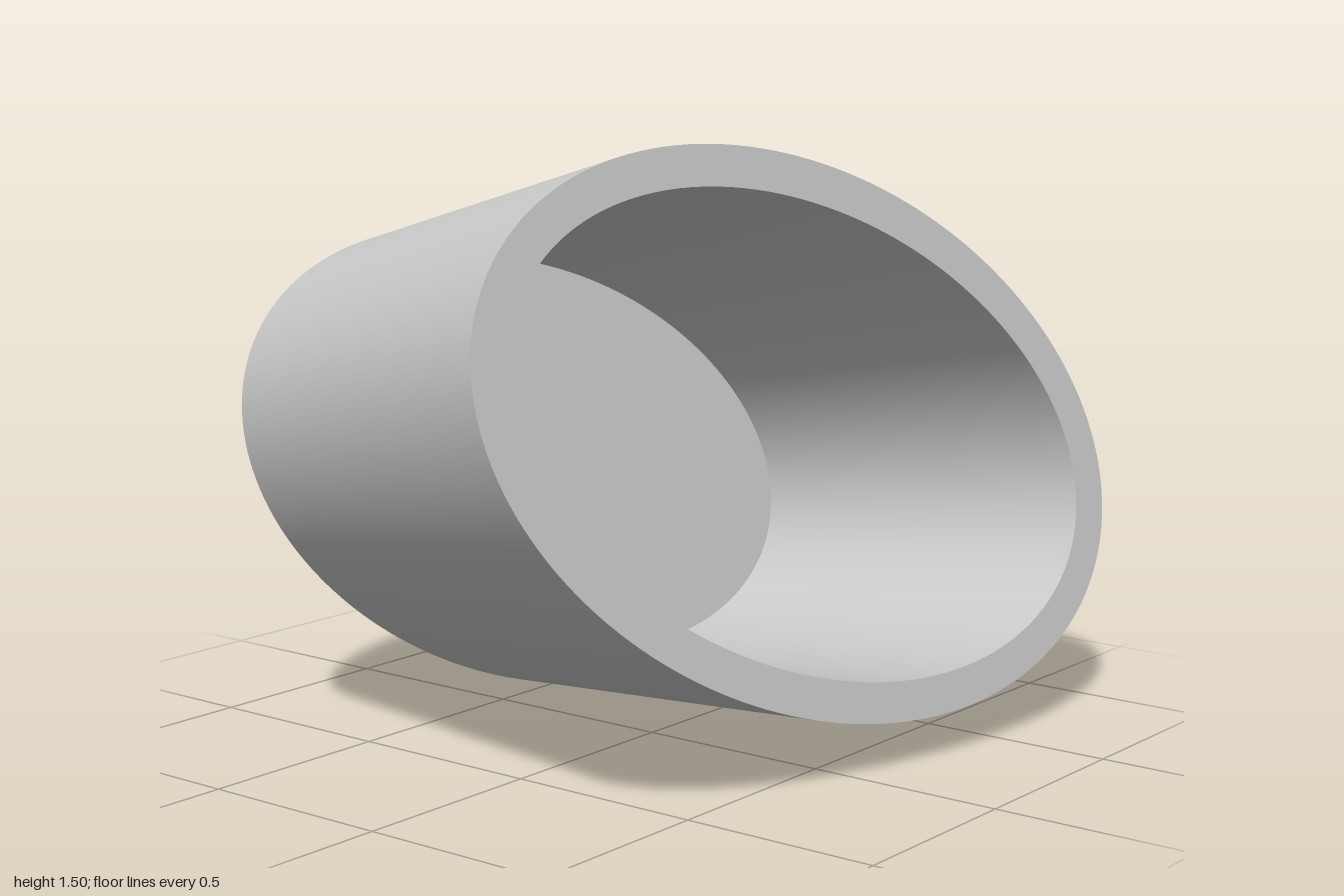
import * as THREE from 'three';

const SEGMENTS = 160;
const SLOPE_Y = -0.185, SLOPE_Z = -0.173; // tilt of every cross-section plane

// Tilted ellipse: centre, height radius, shear of z with height, depth radius
const rings = {
  base: { c: [-0.5575, 0.615, -0.1625], ry: 0.615, shear: 0.214, rz: 0.81 },
  rim: { c: [0.5225, 0.8075, 0.03], ry: 0.6925, shear: 0.276, rz: 0.93 },
  mouth: { c: [0.5225, 0.8075, 0.03], ry: 0.5975, shear: 0.285, rz: 0.822 },
  floor: { c: [-0.455, 0.634, -0.143], ry: 0.531, shear: 0.221, rz: 0.726 },
};

const centreOf = (ring) => ({ c: ring.c, ry: 0, shear: 0, rz: 0 });

function ringPoint({ c, ry, shear, rz }, i) {
  const t = (i / SEGMENTS) * Math.PI * 2;
  const dy = ry * Math.cos(t);
  const dz = shear * Math.cos(t) + rz * Math.sin(t);
  return [c[0] + SLOPE_Y * dy + SLOPE_Z * dz, c[1] + dy, c[2] + dz];
}

// Closed band of faces between two cross-sections, smooth around the loop
function band(name, from, to, material) {
  const positions = [], index = [];
  for (const ring of [from, to]) {
    for (let i = 0; i < SEGMENTS; i++) positions.push(...ringPoint(ring, i));
  }
  for (let i = 0; i < SEGMENTS; i++) {
    const j = (i + 1) % SEGMENTS;
    index.push(i, j, SEGMENTS + i, j, SEGMENTS + j, SEGMENTS + i);
  }
  const geometry = new THREE.BufferGeometry();
  geometry.setAttribute('position', new THREE.Float32BufferAttribute(positions, 3));
  geometry.setIndex(index);
  geometry.computeVertexNormals();
  const mesh = new THREE.Mesh(geometry, material);
  mesh.name = name;
  return mesh;
}

export function createModel() {
  const group = new THREE.Group();
  group.name = 'ovalCup';
  const material = new THREE.MeshStandardMaterial({ color: 0xcccccc });
  const { base, rim, mouth, floor } = rings;

  group.add(
    band('baseDisc', centreOf(base), base, material),
    band('outerWall', base, rim, material),
    band('rimFace', rim, mouth, material),
    band('innerWall', mouth, floor, material),
    band('innerFloor', floor, centreOf(floor), material),
  );
  return group;
}
